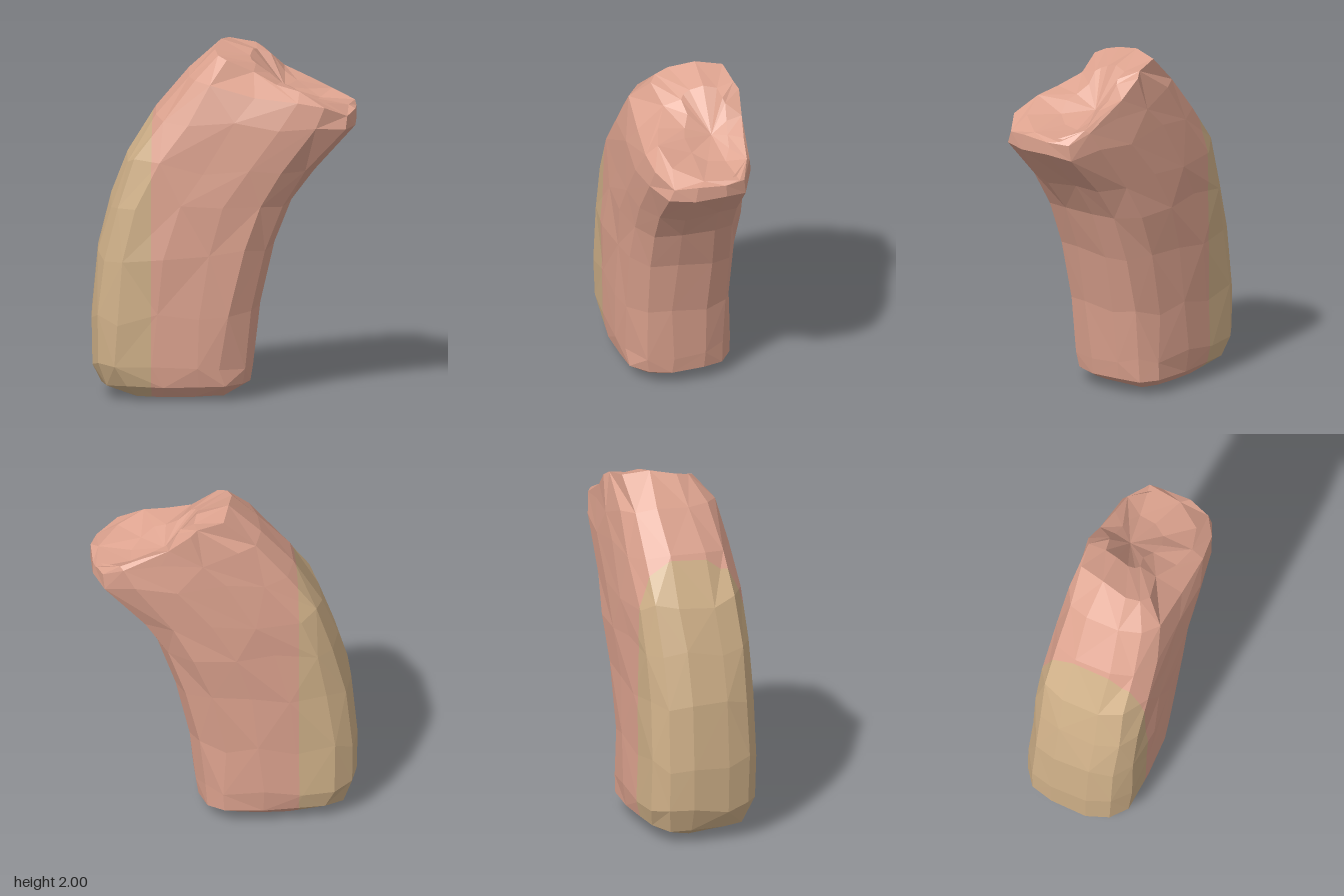
import * as THREE from 'three';

// Outline of one cross-section: [fraction from left edge to right edge, fraction of half depth]
const OUTLINE = [
  [0, -0.35], [0.005, 0.3], [0.045, 0.72], [0.16, 0.94], [0.4, 1], [0.64, 1], [0.82, 0.94], [0.955, 0.69],
  [1, 0.25], [1, -0.35], [0.95, -0.7], [0.82, -0.94], [0.6, -1], [0.36, -1], [0.14, -0.94], [0.04, -0.72],
];

// Cross-sections from base upward: left x, left y, right x, right y, half depth, z shift at left, z shift at right
const SECTIONS = [
  [-0.57, 0.025, 0.03, 0.02, 0.23, 0, 0],
  [-0.69, 0.08, 0.15, 0.09, 0.305, -0.01, -0.01],
  [-0.74, 0.2, 0.165, 0.2, 0.32, -0.01, -0.01],
  [-0.745, 0.46, 0.2, 0.5, 0.327, 0, 0],
  [-0.71, 0.82, 0.28, 0.85, 0.332, 0, 0],
  [-0.635, 1.1, 0.38, 1.1, 0.332, -0.005, 0.005],
  [-0.545, 1.35, 0.51, 1.31, 0.33, -0.01, 0.015],
  [-0.385, 1.6, 0.74, 1.56, 0.322, -0.015, 0.03],
  [-0.2, 1.82, 0.74, 1.635, 0.295, -0.03, 0.03],
];

// Rim of the broken top, in the same order as the outline
const TOP_RIM = [
  [-0.02, 2, -0.11], [-0.05, 1.97, 0.04], [-0.03, 1.95, 0.12], [0.02, 1.93, 0.16],
  [0.17, 1.86, 0.13], [0.3, 1.8, 0.2], [0.43, 1.77, 0.24], [0.58, 1.7, 0.2],
  [0.7, 1.66, 0.05], [0.73, 1.65, -0.15], [0.6, 1.7, -0.23], [0.47, 1.76, -0.25],
  [0.33, 1.82, -0.28], [0.21, 1.92, -0.3], [0.17, 1.95, -0.28], [0.02, 1.98, -0.26],
];

// Small repeatable irregularity for the hewn facets
function makeNoise(seed) {
  return (amount) => {
    seed = (seed * 16807) % 2147483647;
    return (seed / 2147483647 - 0.5) * 2 * amount;
  };
}

// Triangles of the whole curved chunk
function chunkTriangles() {
  const noise = makeNoise(71);
  const lerp = THREE.MathUtils.lerp;
  const rings = SECTIONS.map(([lx, ly, rx, ry, depth, leftShift, rightShift], i) =>
    OUTLINE.map(([t, d]) => new THREE.Vector3(
      lerp(lx, rx, t) + (t > 0.1 && t < 0.9 ? noise(0.025) : 0),
      lerp(ly, ry, t) + noise(i > 1 ? 0.03 : 0.008),
      depth * d + lerp(leftShift, rightShift, t) + noise(0.01))));

  // Broken top: rim, then a ledge that drops into a notch
  const base = new THREE.Vector3(-0.3, 0, 0);
  const notch = new THREE.Vector3(0.34, 1.73, -0.1);
  const rim = TOP_RIM.map((p) => new THREE.Vector3(...p));
  const ledge = rim.map((p) => new THREE.Vector3(
    lerp(p.x, notch.x, 0.5), lerp(p.y, notch.y, 0.2), lerp(p.z, notch.z, 0.5)));
  rings.push(rim, ledge);

  const last = rings.length - 1;
  const n = OUTLINE.length;
  const tris = [];
  for (let j = 0; j < n; j++) {
    const k = (j + 1) % n;
    for (let i = 0; i < last; i++) {
      const a = rings[i][j], b = rings[i][k], c = rings[i + 1][k], d = rings[i + 1][j];
      if ((i + j) % 2) tris.push([a, b, c], [a, c, d]);
      else tris.push([a, b, d], [b, c, d]);
    }
    tris.push([rings[0][k], rings[0][j], base], [rings[last][j], rings[last][k], notch]);
  }
  return tris;
}

// Keep the part of every triangle on one side of a vertical plane
function sideOfPlane(tris, planeX, sign) {
  const out = [];
  for (const tri of tris) {
    const poly = [];
    tri.forEach((p, i) => {
      const q = tri[(i + 1) % 3];
      const dp = (p.x - planeX) * sign, dq = (q.x - planeX) * sign;
      if (dp >= 0) poly.push(p);
      if (dp * dq < 0) poly.push(p.clone().lerp(q, dp / (dp - dq)));
    });
    for (let i = 1; i + 1 < poly.length; i++) {
      for (const v of [poly[0], poly[i], poly[i + 1]]) out.push(v.x, v.y, v.z);
    }
  }
  // Unshared corners give flat facets
  const geometry = new THREE.BufferGeometry();
  geometry.setAttribute('position', new THREE.Float32BufferAttribute(out, 3));
  geometry.computeVertexNormals();
  return geometry;
}

export function createModel() {
  const group = new THREE.Group();
  group.name = 'meatChunk';
  const tris = chunkTriangles();
  const pink = new THREE.MeshStandardMaterial({ color: 0xdca28e });
  pink.name = 'pinkFlesh';
  const tan = new THREE.MeshStandardMaterial({ color: 0xcfb088 });
  tan.name = 'tanRind';

  // Main body
  const flesh = new THREE.Mesh(sideOfPlane(tris, -0.4, 1), pink);
  flesh.name = 'flesh';
  // Outer curved strip
  const rind = new THREE.Mesh(sideOfPlane(tris, -0.4, -1), tan);
  rind.name = 'rind';
  group.add(flesh, rind);
  return group;
}
